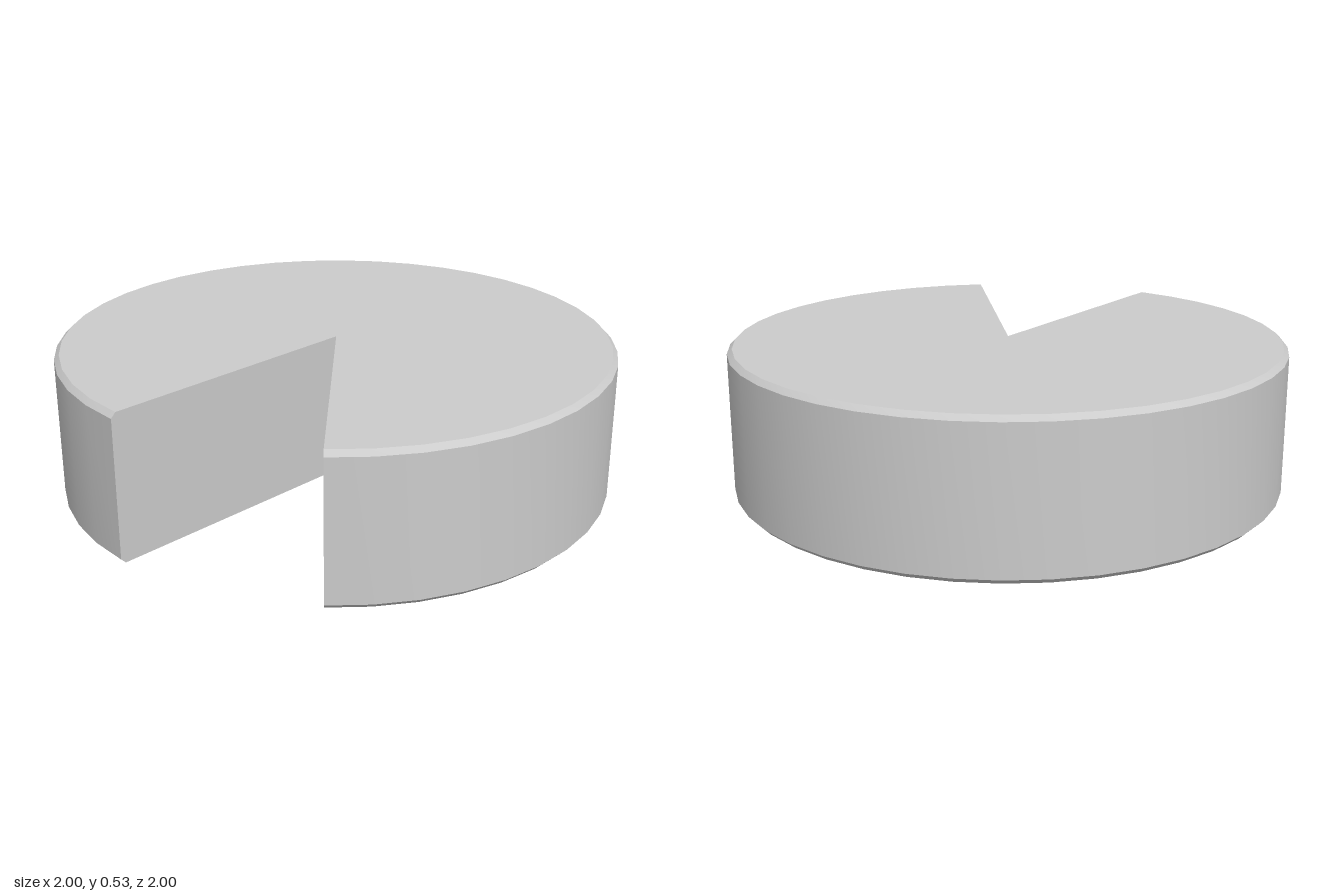
import * as THREE from 'three';
import { toCreasedNormals } from 'three/addons/utils/BufferGeometryUtils.js';

const HEIGHT = 0.532;
const BEVEL = 0.018;
const START = THREE.MathUtils.degToRad(39.7); // angles run from +z towards +x
const END = THREE.MathUtils.degToRad(357.6);
const SEGMENTS = 37;

// Half cross-section of the disc, from the axis at the bottom to the axis at the top
const profile = [
  [0, 0], [1 - BEVEL, 0], [1, BEVEL],
  [1, HEIGHT - BEVEL], [1 - BEVEL, HEIGHT], [0, HEIGHT],
].map(([x, y]) => new THREE.Vector2(x, y));

// Flat wall of the cut; side 1 faces back along the sweep, side -1 faces onward
function cutFace(name, angle, side, material) {
  const shape = new THREE.Shape(profile.map((p) => new THREE.Vector2(p.x * side, p.y)));
  const face = new THREE.Mesh(new THREE.ShapeGeometry(shape), material);
  face.rotation.y = angle - side * Math.PI / 2;
  face.name = name;
  return face;
}

export function createModel() {
  const group = new THREE.Group();
  group.name = 'cutDisc';
  const material = new THREE.MeshStandardMaterial({ color: 0xcccccc });

  // Bevelled disc with a wedge left out
  const lathe = new THREE.LatheGeometry(profile, SEGMENTS, START, END - START);
  const disc = new THREE.Mesh(toCreasedNormals(lathe, 0.4), material);
  disc.name = 'disc';
  group.add(disc);

  // Walls of the wedge opening
  group.add(cutFace('leftCutFace', START, 1, material));
  group.add(cutFace('rightCutFace', END, -1, material));
  return group;
}
